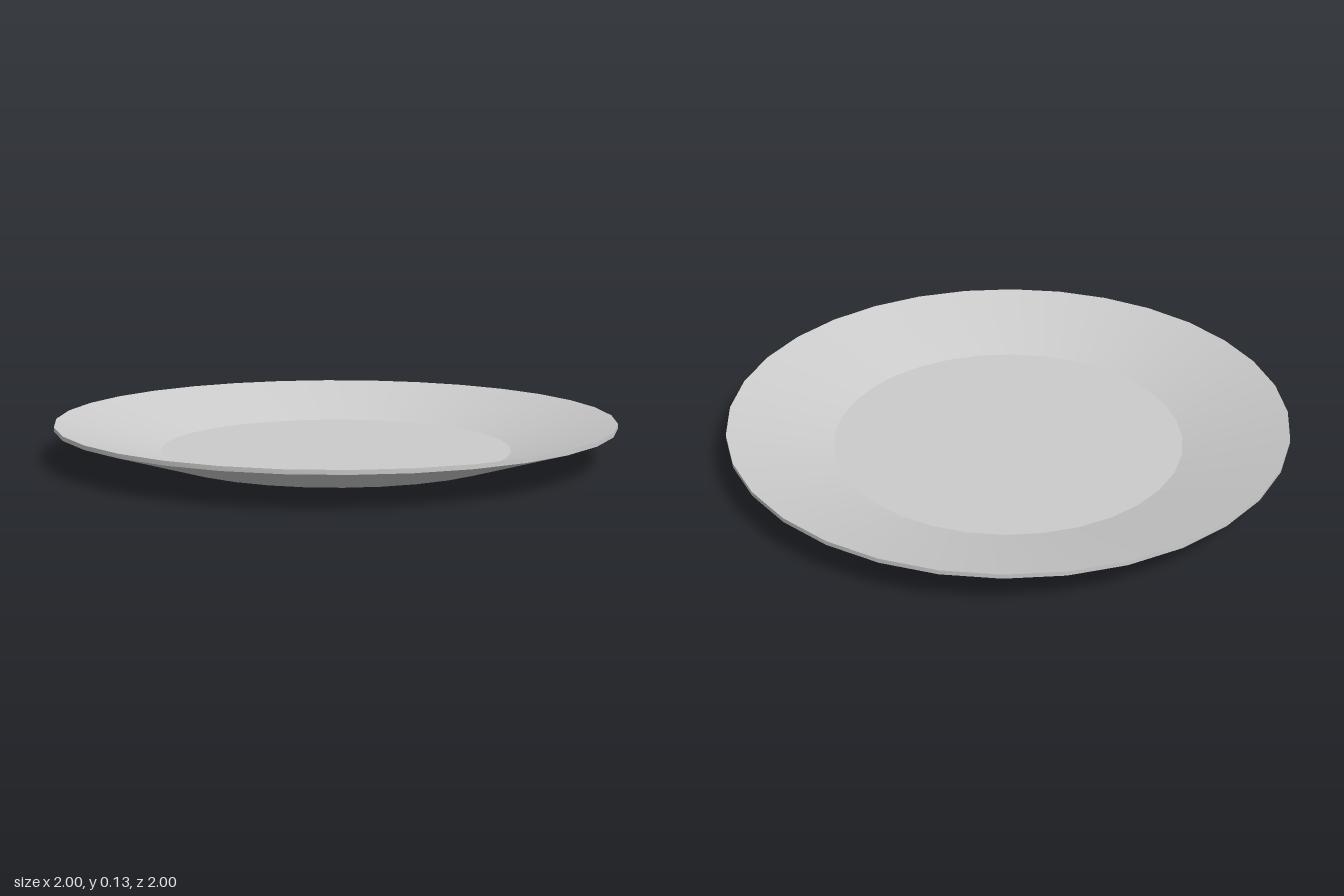
import * as THREE from 'three';
import { toCreasedNormals } from 'three/addons/utils/BufferGeometryUtils.js';

export function createModel() {
  const group = new THREE.Group();
  group.name = 'dinnerPlate';

  // Closed profile: underside centre, foot edge, rim band, floor edge, floor centre
  const profile = [
    [0, 0], [0.63, 0], [1, 0.115], [1, 0.13], [0.63, 0.02], [0, 0.02],
  ].map(([r, y]) => new THREE.Vector2(r, y));

  // Smooth around the plate, crisp where floor, slope and rim meet
  const geometry = toCreasedNormals(new THREE.LatheGeometry(profile, 32), 0.22);
  const plate = new THREE.Mesh(geometry, new THREE.MeshStandardMaterial({ color: 0xcccccc }));
  plate.name = 'plate';
  group.add(plate);
  return group;
}
